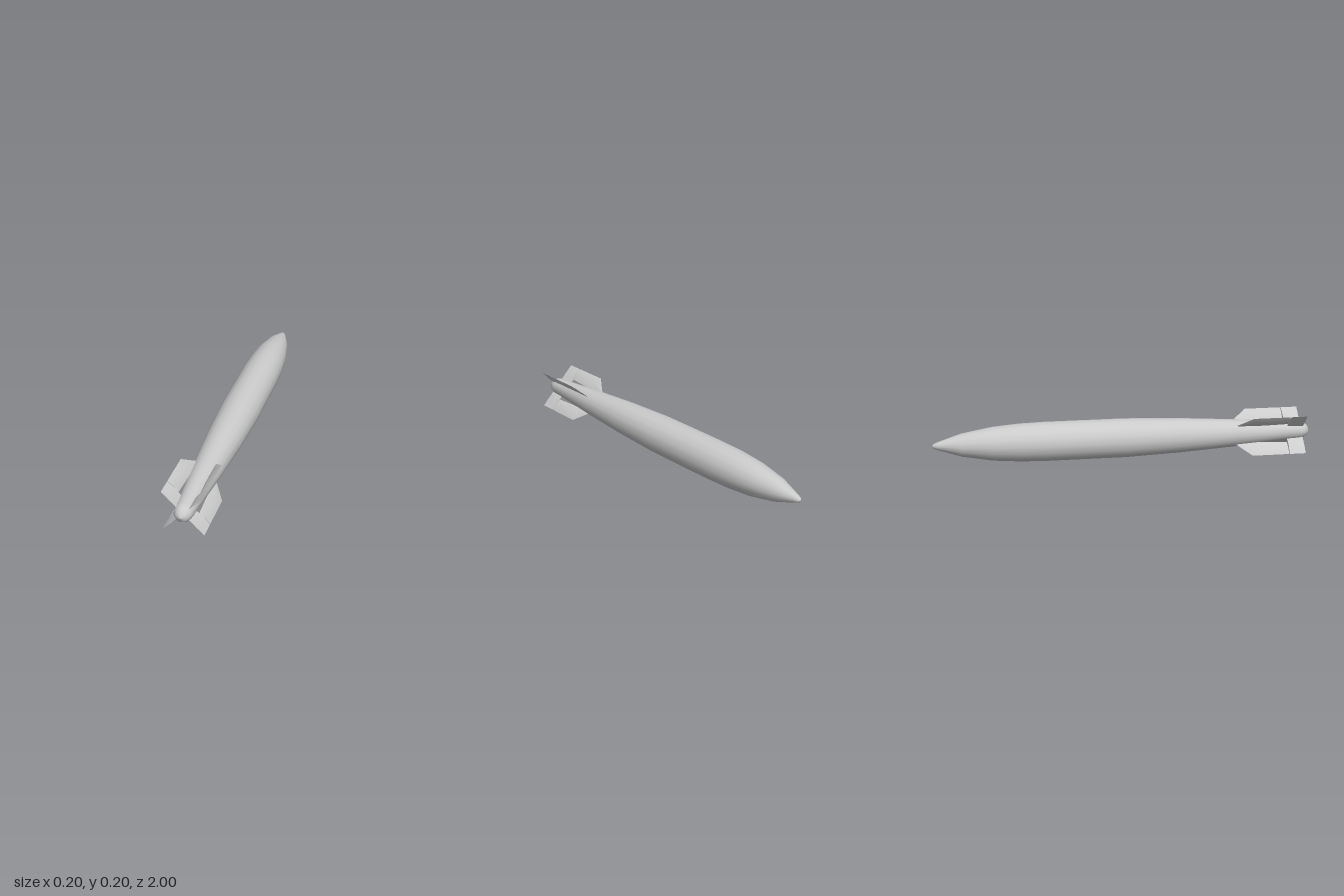
import * as THREE from 'three';
import { toCreasedNormals } from 'three/addons/utils/BufferGeometryUtils.js';

const CENTRE_Y = 0.1025;
const material = new THREE.MeshStandardMaterial({ color: 0xcccccc });

// Loft of diamond sections; each station is [z, inner radius, outer radius, half thickness].
function diamondLoft(stations) {
  const pos = [], index = [];
  for (const [z, inner, outer, t] of stations) {
    const mid = (inner + outer) / 2;
    pos.push(inner, 0, z, mid, -t, z, outer, 0, z, mid, t, z);
  }
  for (let s = 0; s < stations.length - 1; s++) {
    for (let k = 0; k < 4; k++) {
      const a = s * 4 + k, b = s * 4 + (k + 1) % 4;
      index.push(a, b, b + 4, a, b + 4, a + 4);
    }
  }
  // End caps
  const e = (stations.length - 1) * 4;
  index.push(0, 2, 1, 0, 3, 2, e, e + 1, e + 2, e, e + 2, e + 3);
  const g = new THREE.BufferGeometry();
  g.setAttribute('position', new THREE.Float32BufferAttribute(pos, 3));
  g.setIndex(index);
  return toCreasedNormals(g, 0.6);
}

export function createModel() {
  const model = new THREE.Group();
  model.name = 'finnedCylinder';

  const add = (parent, name, geometry) => {
    const mesh = new THREE.Mesh(geometry, material);
    mesh.name = name;
    parent.add(mesh);
  };

  // Hull: pointed nose at -z, long taper to a small rounded tail at +z
  const profile = [
    [0, -1], [0.012, -0.992], [0.021, -0.97], [0.06, -0.85], [0.088, -0.69],
    [0.099, -0.55], [0.1025, -0.42], [0.1025, 0], [0.091, 0.3], [0.072, 0.6],
    [0.05, 0.88], [0.047, 0.94], [0.041, 0.968], [0.026, 0.99], [0, 1],
  ].map(([r, z]) => new THREE.Vector2(r, z));
  const hull = new THREE.LatheGeometry(profile, 16);
  hull.rotateX(Math.PI / 2);
  hull.translate(0, CENTRE_Y, 0);
  add(model, 'hull', hull);

  // Fixed fin stands slightly clear of the hull towards its rear
  const finGeometry = diamondLoft([
    [0.59, 0.06, 0.072, 0.001],
    [0.67, 0.063, 0.143, 0.007],
    [0.76, 0.065, 0.143, 0.009],
    [0.868, 0.07, 0.143, 0.007],
  ]);
  // Movable rudder closes the gap behind the fin
  const rudderGeometry = diamondLoft([
    [0.872, 0.042, 0.143, 0.008],
    [0.96, 0.038, 0.143, 0.002],
  ]);

  // Four tail fins in an X
  for (let i = 0; i < 4; i++) {
    const tailFin = new THREE.Group();
    tailFin.name = 'tailFin' + (i + 1);
    tailFin.position.y = CENTRE_Y;
    tailFin.rotation.z = Math.PI / 4 + i * Math.PI / 2;
    add(tailFin, 'fin', finGeometry);
    add(tailFin, 'rudder', rudderGeometry);
    model.add(tailFin);
  }
  return model;
}
